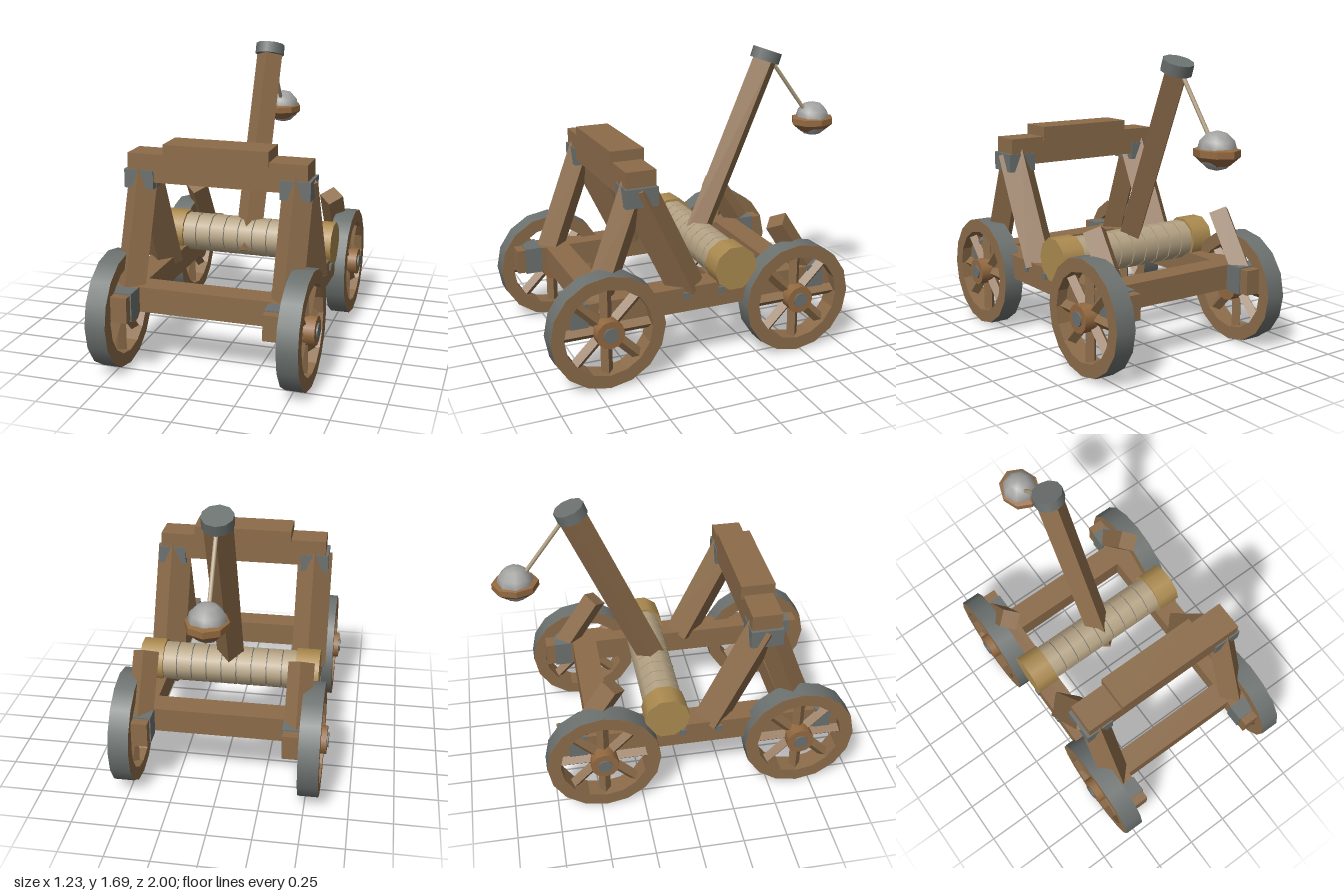
import * as THREE from 'three';

const mat = (name, color) => {
  const m = new THREE.MeshStandardMaterial({ color });
  m.name = name;
  return m;
};

export function createModel() {
  const root = new THREE.Group();
  root.name = 'catapult';
  const wood = mat('wood', 0x8c6c4a);
  const warmWood = mat('warm wood', 0x946a41);
  const iron = mat('iron', 0x6c7270);
  const rope = mat('rope', 0xb5a384);
  const brass = mat('pale end wood', 0xac8b50);
  const stone = mat('stone', 0xa2a3a1);

  const add = (parent, name, geo, material, x = 0, y = 0, z = 0) => {
    const m = new THREE.Mesh(geo, material);
    m.name = name;
    m.position.set(x, y, z);
    parent.add(m);
    return m;
  };
  // Box given by its minimum and maximum on each axis
  const box = (name, material, x0, x1, y0, y1, z0, z1) =>
    add(root, name, new THREE.BoxGeometry(x1 - x0, y1 - y0, z1 - z0), material,
      (x0 + x1) / 2, (y0 + y1) / 2, (z0 + z1) / 2);
  const flat = (geo) => {
    const g = geo.toNonIndexed();
    g.computeVertexNormals();
    return g;
  };
  // Bar with corners facing sideways, running between two [y, z] points
  const bar = (parent, name, material, x, a, b, r, sides = 4) => {
    const dy = b[0] - a[0], dz = b[1] - a[1];
    let g = new THREE.CylinderGeometry(r, r, Math.hypot(dy, dz), sides);
    if (sides === 4) g = flat(g);
    const m = add(parent, name, g, material, x, (a[0] + b[0]) / 2, (a[1] + b[1]) / 2);
    m.rotation.x = Math.atan2(dz, dy);
    return m;
  };
  // Cylinder lying along x
  const drum = (parent, name, material, x0, x1, y, z, r, sides, open = false) =>
    add(parent, name,
      new THREE.CylinderGeometry(r, r, x1 - x0, sides, 1, open).rotateZ(Math.PI / 2),
      material, (x0 + x1) / 2, y, z);

  // Wheels: wooden rim, iron tyre, eight spokes, hub and cap
  const polygon = (PathType, r) => {
    const p = new PathType();
    for (let i = 0; i < 16; i++) {
      const t = (i / 16) * Math.PI * 2;
      p[i ? 'lineTo' : 'moveTo'](r * Math.cos(t), r * Math.sin(t));
    }
    p.closePath();
    return p;
  };
  const rimShape = polygon(THREE.Shape, 0.325);
  rimShape.holes.push(polygon(THREE.Path, 0.25));
  const rimGeo = new THREE.ExtrudeGeometry(rimShape, { depth: 0.115, bevelEnabled: false });
  rimGeo.translate(0, 0, -0.0575).rotateY(Math.PI / 2);

  const wheel = (side, z) => {
    const g = new THREE.Group();
    g.name = 'wheel';
    add(g, 'rim', rimGeo, wood);
    drum(g, 'tyre', iron, -0.0575, 0.0575, 0, 0, 0.327, 16, true);
    for (let i = 0; i < 8; i++) {
      const t = (i / 8) * Math.PI * 2, c = Math.cos(t), s = Math.sin(t);
      bar(g, 'spoke', wood, 0, [0.05 * c, 0.05 * s], [0.265 * c, 0.265 * s], 0.034);
    }
    const span = (a, b) => (side > 0 ? [a, b] : [-b, -a]);
    drum(g, 'hub', warmWood, ...span(-0.09, 0.083), 0, 0, 0.08, 12);
    drum(g, 'hubCap', iron, ...span(0.08, 0.092), 0, 0, 0.042, 12);
    g.position.set(side * 0.522, 0.327, z);
    root.add(g);
  };

  for (const s of [1, -1]) {
    const sideBox = (name, m, x0, x1, ...rest) =>
      box(name, m, Math.min(s * x0, s * x1), Math.max(s * x0, s * x1), ...rest);
    wheel(s, 0.672);
    wheel(s, -0.472);
    // Chassis rail with iron bands and bolts
    sideBox('rail', wood, 0.373, 0.518, 0.343, 0.485, -0.718, 0.917);
    sideBox('frontBand', iron, 0.366, 0.526, 0.336, 0.492, 0.77, 0.868);
    sideBox('rearBand', iron, 0.366, 0.526, 0.336, 0.492, -0.662, -0.56);
    for (const z of [0.2, -0.01])
      sideBox('bolt', iron, 0.51, 0.532, 0.422, 0.458, z - 0.018, z + 0.018);
    // A-frame legs and the iron joint at their top
    bar(root, 'frontLeg', wood, s * 0.44, [0.43, 0.705], [1.085, 0.462], 0.085);
    bar(root, 'braceLeg', wood, s * 0.44, [0.45, 0.165], [1.075, 0.462], 0.105);
    sideBox('frameJoint', iron, 0.357, 0.525, 0.985, 1.09, 0.362, 0.545);
    // Rear stop post
    bar(root, 'rearPost', wood, s * 0.44, [0.44, -0.6], [0.765, -0.39], 0.073);
    // Winch end
    drum(root, 'winchEnd', brass, ...(s > 0 ? [0.39, 0.527] : [-0.527, -0.39]), 0.553, -0.1, 0.13, 10);
  }

  // Cross beams and the padded top beam
  box('frontBeam', wood, -0.375, 0.375, 0.343, 0.485, 0.595, 0.737);
  box('rearBeam', wood, -0.375, 0.375, 0.343, 0.485, -0.548, -0.402);
  box('topBeam', wood, -0.507, 0.507, 1.022, 1.18, 0.367, 0.537);
  box('stopPlank', wood, -0.296, 0.296, 1.155, 1.24, 0.353, 0.548);

  // Winch core wound with rope coils
  drum(root, 'winchCore', iron, -0.4, 0.4, 0.553, -0.1, 0.105, 10);
  for (let i = -4; i <= 4; i++)
    drum(root, 'ropeCoil', rope, i * 0.0885 - 0.0412, i * 0.0885 + 0.0412, 0.553, -0.1, 0.115, 10);

  // Throwing arm with iron cap
  bar(root, 'throwingArm', wood, 0, [0.472, -0.043], [1.625, -0.537], 0.08);
  bar(root, 'armCap', iron, 0, [1.601, -0.524], [1.662, -0.546], 0.088, 10);

  // Sling rope, bowl and stone
  bar(root, 'slingRope', rope, 0, [1.58, -0.585], [1.27, -0.815], 0.012, 6);
  const profile = [[0, 1.145], [0.075, 1.145], [0.132, 1.192], [0.132, 1.228], [0.1, 1.236], [0, 1.23]];
  const bowlGeo = flat(new THREE.LatheGeometry(profile.map(([r, y]) => new THREE.Vector2(r, y)), 8));
  add(root, 'bowl', bowlGeo, warmWood, 0, 0, -0.866).scale.x = 0.87;
  add(root, 'stone', new THREE.SphereGeometry(0.105, 8, 6), stone, 0, 1.22, -0.866);

  return root;
}
